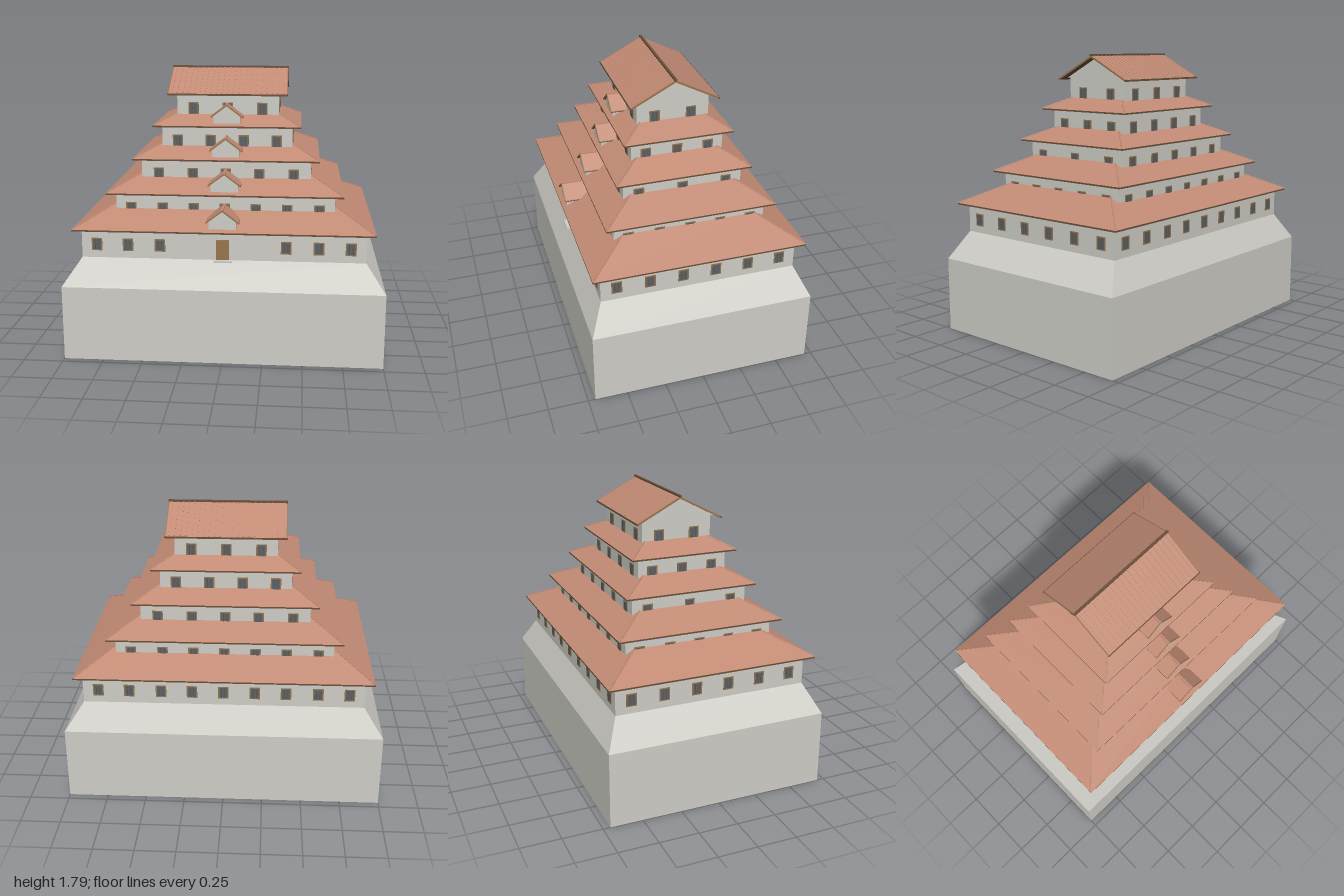
import * as THREE from 'three';

const mat = (name, color) => {
  const m = new THREE.MeshStandardMaterial({ color });
  m.name = name;
  return m;
};

export function createModel() {
  const model = new THREE.Group();
  model.name = 'castleKeep';
  const stone = mat('paleStone', 0xcecdc6);
  const tile = mat('roofTile', 0xc18a74);
  const timber = mat('darkTimber', 0x6b5039);
  const wood = mat('wood', 0x98754e);
  const pane = mat('windowPane', 0x56636d);

  const add = (parent, name, geo, material, x = 0, y = 0, z = 0) => {
    const m = new THREE.Mesh(geo, material);
    m.name = name;
    m.position.set(x, y, z);
    parent.add(m);
    return m;
  };
  const box = (parent, name, material, w, h, d, x, y, z) =>
    add(parent, name, new THREE.BoxGeometry(w, h, d), material, x, y, z);

  // Box whose top rectangle differs from its bottom one (half sizes)
  const frustum = (x0, z0, y0, x1, z1, y1) => {
    const g = new THREE.BoxGeometry(2, 1, 2);
    const p = g.attributes.position;
    for (let i = 0; i < p.count; i++) {
      const up = p.getY(i) > 0;
      p.setXYZ(i, p.getX(i) * (up ? x1 : x0), up ? y1 : y0, p.getZ(i) * (up ? z1 : z0));
    }
    g.computeVertexNormals();
    return g;
  };

  // Flat outline pushed along z, centred
  const prism = (points, depth) => {
    const s = new THREE.Shape(points.map(([x, y]) => new THREE.Vector2(x, y)));
    const g = new THREE.ExtrudeGeometry(s, { depth, bevelEnabled: false });
    g.translate(0, 0, -depth / 2);
    return g;
  };

  // Two-sided roof with its apex at the origin: tiles over timber, trimmed at both ends
  const gableRoof = (name, w, drop, len, t) => {
    const g = new THREE.Group();
    g.name = name;
    const layer = (top, th) => [[-w, top - drop - th], [0, top - th], [w, top - drop - th],
      [w, top - drop], [0, top], [-w, top - drop]];
    const trim = 0.006;
    add(g, name + 'Tiles', prism(layer(0, t), len - 2 * trim), tile);
    add(g, name + 'Timber', prism(layer(-t, t), len - 2 * trim), timber);
    for (const end of [-1, 1])
      add(g, name + 'EndTrim', prism(layer(0, 2 * t), trim), wood, 0, 0, end * (len - trim) / 2);
    return g;
  };

  // Barred window facing +z
  const windowAt = (parent, x, y, z, ry) => {
    const g = new THREE.Group();
    g.name = 'window';
    box(g, 'windowFrame', wood, 0.066, 0.08, 0.006, 0, 0, 0);
    box(g, 'windowPane', pane, 0.05, 0.066, 0.004, 0, 0, 0.002);
    for (const bx of [-0.011, 0.011])
      box(g, 'windowBar', timber, 0.005, 0.066, 0.004, bx, 0, 0.003);
    g.position.set(x, y, z);
    g.rotation.y = ry;
    parent.add(g);
  };

  // Stone base
  box(model, 'stoneBase', stone, 2, 0.475, 1.41, 0, 0.2375, 0);
  add(model, 'slopedBase', frustum(1, 0.705, 0.475, 0.88, 0.62, 0.65), stone);

  // Storeys: wall half sizes, wall heights, window places on each side
  const storeys = [
    { x: 0.88, z: 0.62, y0: 0.65, y1: 0.835, win: 0.735,
      front: [0.39, 0.59, 0.785], back: [0, 0.196, 0.39, 0.59, 0.785], side: [0.104, 0.312, 0.52] },
    { x: 0.685, z: 0.482, y0: 0.835, y1: 1.035, win: 0.935, front: [0, 0.195, 0.39, 0.59], side: [0, 0.195, 0.39] },
    { x: 0.535, z: 0.38, y0: 1.035, y1: 1.24, win: 1.138, front: [0, 0.21, 0.427], side: [0, 0.28] },
    { x: 0.415, z: 0.294, y0: 1.235, y1: 1.44, win: 1.338, front: [0.105, 0.315], side: [0, 0.2] },
    { x: 0.325, z: 0.23, y0: 1.435, y1: 1.64, win: 1.537, front: [0, 0.22], side: [0.117] },
  ];
  const mirrored = (list) => list.flatMap((v) => (v ? [-v, v] : [0]));
  storeys.forEach((s, i) => {
    const g = new THREE.Group();
    g.name = 'storey' + (i + 1);
    box(g, 'wall', stone, 2 * s.x, s.y1 - s.y0, 2 * s.z, 0, (s.y0 + s.y1) / 2, 0);
    for (const x of mirrored(s.front)) windowAt(g, x, s.win, s.z, 0);
    for (const x of mirrored(s.back || s.front)) windowAt(g, x, s.win, -s.z, Math.PI);
    for (const z of mirrored(s.side)) {
      windowAt(g, s.x, s.win, z, Math.PI / 2);
      windowAt(g, -s.x, s.win, z, -Math.PI / 2);
    }
    model.add(g);
  });

  // Door and step
  box(model, 'door', wood, 0.08, 0.132, 0.014, 0, 0.712, 0.62);
  box(model, 'doorStep', stone, 0.11, 0.012, 0.04, 0, 0.646, 0.63);

  // Skirt roofs: eave half sizes and height, top half sizes and height, dormer apex
  const roofs = [
    { ex: 0.932, ez: 0.673, y: 0.827, tx: 0.668, tz: 0.41, ty: 0.972, apex: 0.975 },
    { ex: 0.74, ez: 0.538, y: 1.03, tx: 0.53, tz: 0.33, ty: 1.144, apex: 1.175 },
    { ex: 0.588, ez: 0.431, y: 1.23, tx: 0.412, tz: 0.258, ty: 1.324, apex: 1.375 },
    { ex: 0.47, ez: 0.348, y: 1.43, tx: 0.323, tz: 0.213, ty: 1.51, apex: 1.575 },
  ];
  roofs.forEach((r, i) => {
    const g = new THREE.Group();
    g.name = 'skirtRoof' + (i + 1);
    box(g, 'eave', timber, 2 * r.ex, 0.01, 2 * r.ez, 0, r.y + 0.005, 0);
    add(g, 'roofSlopes', frustum(r.ex, r.ez, r.y + 0.01, r.tx, r.tz, r.ty), tile);
    // Hip tiles
    for (const sx of [-1, 1]) for (const sz of [-1, 1]) {
      const path = new THREE.LineCurve3(
        new THREE.Vector3(sx * r.ex, r.y + 0.01, sz * r.ez),
        new THREE.Vector3(sx * r.tx, r.ty, sz * r.tz));
      add(g, 'hipTiles', new THREE.TubeGeometry(path, 1, 0.004, 6), tile);
    }
    // Front dormer
    const back = storeys[i + 1].z - 0.01, front = r.ez - 0.013;
    const d = new THREE.Group();
    d.name = 'dormer';
    add(d, 'dormerWall', prism([[-0.085, -0.125], [0.085, -0.125], [0.085, -0.072],
      [0, -0.006], [-0.085, -0.072]], front - back - 0.015), stone, 0, 0, -0.0075);
    d.add(gableRoof('dormerRoof', 0.102, 0.077, front - back, 0.005));
    box(d, 'dormerRidge', tile, 0.014, 0.006, front - back, 0, -0.001, 0);
    d.position.set(0, r.apex, (front + back) / 2);
    g.add(d);
    model.add(g);
  });

  // Top gable roof with its ridge along x
  const top = new THREE.Group();
  top.name = 'topRoof';
  const w = 0.28, drop = 0.146;
  const cover = gableRoof('topRoof', w, drop, 0.76, 0.006);
  cover.rotation.y = Math.PI / 2;
  top.add(cover);
  add(top, 'gableWall', prism([[-0.262, -0.146], [0.262, -0.146], [0, -0.009]], 0.65), stone)
    .rotation.y = Math.PI / 2;
  box(top, 'ridgeCap', timber, 0.765, 0.012, 0.016, 0, 0.003, 0);
  // Tile ribs and eave trims on both slopes
  const slope = Math.atan2(drop, w), run = Math.hypot(w, drop);
  for (const side of [-1, 1]) {
    for (let k = -10; k <= 10; k++)
      box(top, 'tileRib', tile, 0.008, 0.006, run - 0.012, k * 0.0355, -drop / 2, side * w / 2)
        .rotation.x = side * slope;
    box(top, 'eaveTrim', timber, 0.765, 0.01, 0.008, 0, -drop - 0.005, side * w);
  }
  top.position.y = 1.782;
  model.add(top);

  return model;
}
